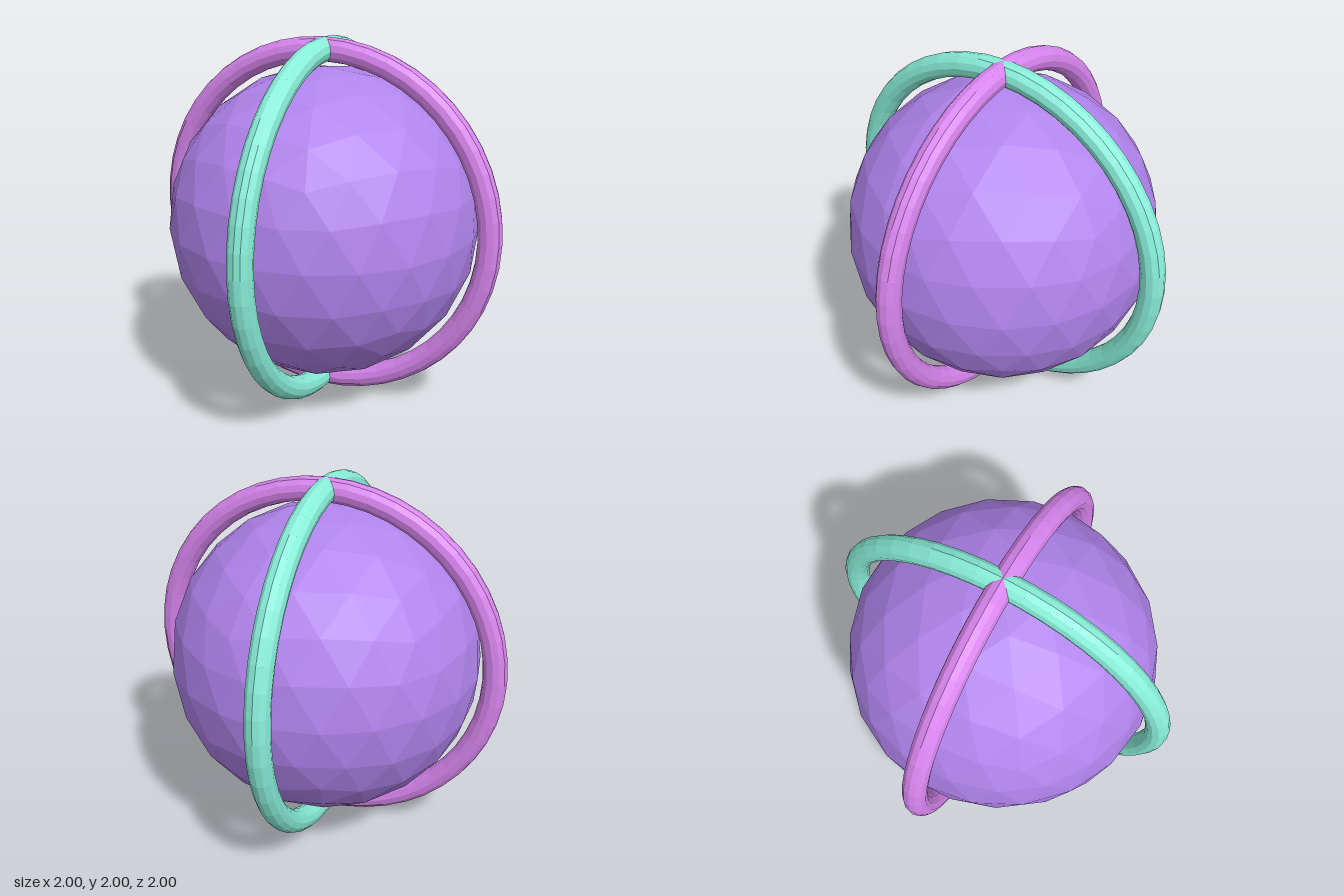
import * as THREE from 'three';

const material = (color) => new THREE.MeshStandardMaterial({ color, flatShading: true });

export function createModel() {
  const model = new THREE.Group();
  model.name = 'ringedSphere';

  const add = (name, geometry, color) => {
    const mesh = new THREE.Mesh(geometry, material(color));
    mesh.name = name;
    mesh.position.y = 1;
    model.add(mesh);
    return mesh;
  };

  // Faceted core, tipped so that a corner of the icosahedron is the north pole
  const core = new THREE.IcosahedronGeometry(0.845, 3);
  core.rotateZ(-Math.atan2(2, 1 + Math.sqrt(5)));
  add('core', core, 0xb284ee);

  // Two upright rings crossing at the poles
  const ring = new THREE.TorusGeometry(0.935, 0.065, 12, 48);
  add('sideRing', ring, 0xd885ee);
  add('frontRing', ring, 0x88eed8).rotation.y = Math.PI / 2;

  return model;
}
